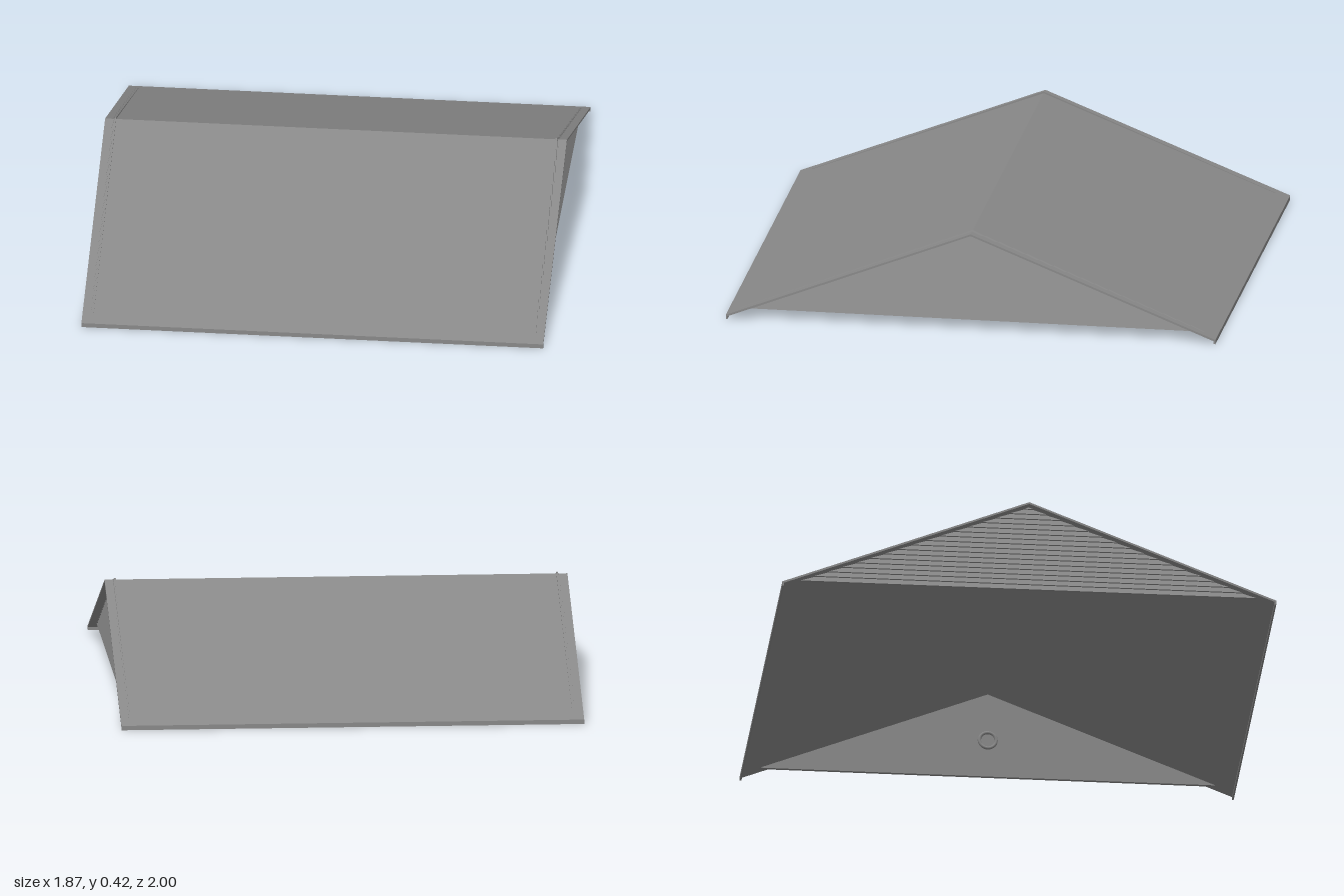
import * as THREE from 'three';

export function createModel() {
  const model = new THREE.Group();
  model.name = 'gableRoof';
  const grey = new THREE.MeshStandardMaterial({ color: 0x888888 });
  grey.name = 'roofGrey';

  const add = (parent, name, geometry) => {
    const mesh = new THREE.Mesh(geometry, grey);
    mesh.name = name;
    parent.add(mesh);
    return mesh;
  };

  // Thin folded roof sheet with a small turned-down lip along each eave
  const width = 1.87;
  const profile = new THREE.Shape([
    [-1, 0], [-0.993, 0], [-0.993, 0.012], [0, 0.405], [0.993, 0.012],
    [0.993, 0], [1, 0], [1, 0.018], [0, 0.413], [-1, 0.018],
  ].map(([z, y]) => new THREE.Vector2(z, y)));
  const sheet = new THREE.ExtrudeGeometry(profile, { depth: width, bevelEnabled: false });
  sheet.translate(0, 0, -width / 2).rotateY(Math.PI / 2);
  add(model, 'roofSheet', sheet);

  // One clapboard: a box tapered to the gable slope, thicker at its lower edge
  const base = 0.04, peak = 0.42, boards = 17;
  const step = (peak - base) / boards;
  const halfWidth = (y) => (peak - y) * 2.5;
  function clapboard(y0) {
    const g = new THREE.BoxGeometry(1, 1, 1);
    const p = g.attributes.position;
    for (let i = 0; i < p.count; i++) {
      const top = p.getY(i) > 0;
      const y = y0 + (top ? step : 0);
      const x = p.getX(i) < 0 ? 0.89 : top ? 0.895 : 0.904;
      p.setXYZ(i, x, y, Math.sign(p.getZ(i)) * halfWidth(y));
    }
    g.computeVertexNormals();
    return g;
  }

  // Matching gable ends, the second turned half way round
  for (const side of ['left', 'right']) {
    const gable = new THREE.Group();
    gable.name = side + 'Gable';
    for (let i = 0; i < boards; i++) add(gable, 'clapboard', clapboard(base + i * step));

    // Round fitting on the inner face
    const ring = add(gable, 'innerRing', new THREE.TorusGeometry(0.034, 0.007, 8, 24));
    ring.rotation.y = Math.PI / 2;
    ring.position.set(0.888, 0.2, 0);

    if (side === 'right') gable.rotation.y = Math.PI;
    model.add(gable);
  }
  return model;
}
